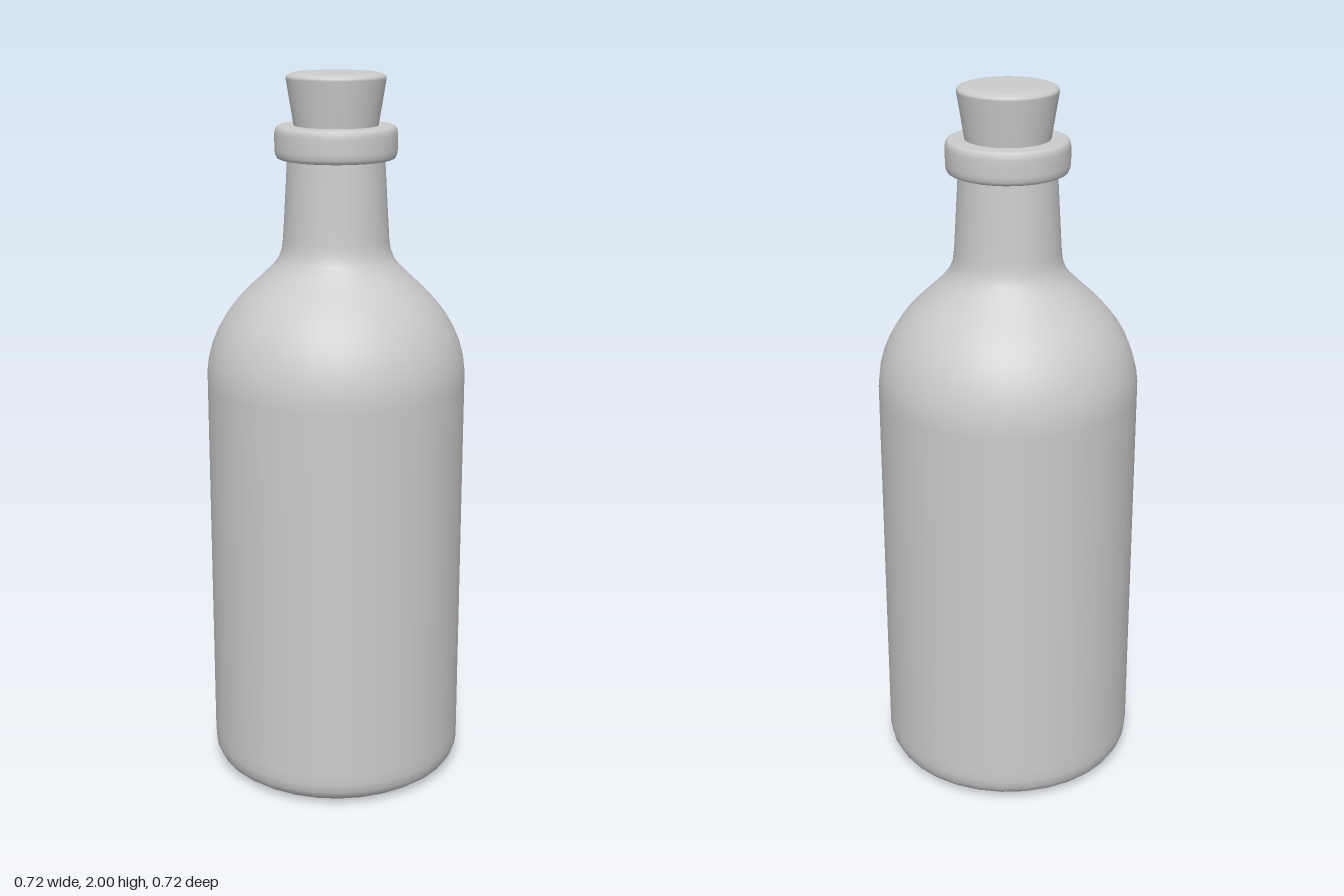
import * as THREE from 'three';

const material = new THREE.MeshStandardMaterial({ color: 0xcccccc });

// Revolve a profile of [radius, height] pairs, listed from bottom to top.
function turned(name, profile) {
  const points = profile.map(([r, y]) => new THREE.Vector2(r, y));
  const mesh = new THREE.Mesh(new THREE.LatheGeometry(points, 32), material);
  mesh.name = name;
  return mesh;
}

export function createModel() {
  const group = new THREE.Group();
  group.name = 'corkedBottle';

  // Body with rounded base, domed shoulder and tapering neck
  group.add(turned('bottleBody', [
    [0, 0], [0.28, 0], [0.3, 0.002], [0.325, 0.009], [0.347, 0.025], [0.358, 0.045], [0.362, 0.07],
    [0.362, 0.1], [0.362, 1.15], [0.362, 1.18], [0.357, 1.22], [0.345, 1.265], [0.328, 1.305],
    [0.306, 1.343], [0.28, 1.377], [0.252, 1.407], [0.206, 1.45], [0.178, 1.477], [0.16, 1.5],
    [0.15, 1.525], [0.146, 1.555], [0.142, 1.62], [0.132, 1.79],
  ]));

  // Collar around the mouth, with softened edges
  group.add(turned('lip', [
    [0.12, 1.771], [0.154, 1.771], [0.161, 1.774], [0.165, 1.782], [0.167, 1.795],
    [0.167, 1.838], [0.165, 1.85], [0.161, 1.857], [0.154, 1.86], [0.1, 1.86],
  ]));

  // Tapered stopper with a slightly rounded top rim
  group.add(turned('cork', [
    [0, 1.78], [0.103, 1.78], [0.103, 1.78], [0.115, 1.86], [0.135, 1.983],
    [0.134, 1.989], [0.128, 1.994], [0.115, 1.998], [0.09, 2], [0, 2],
  ]));

  return group;
}
